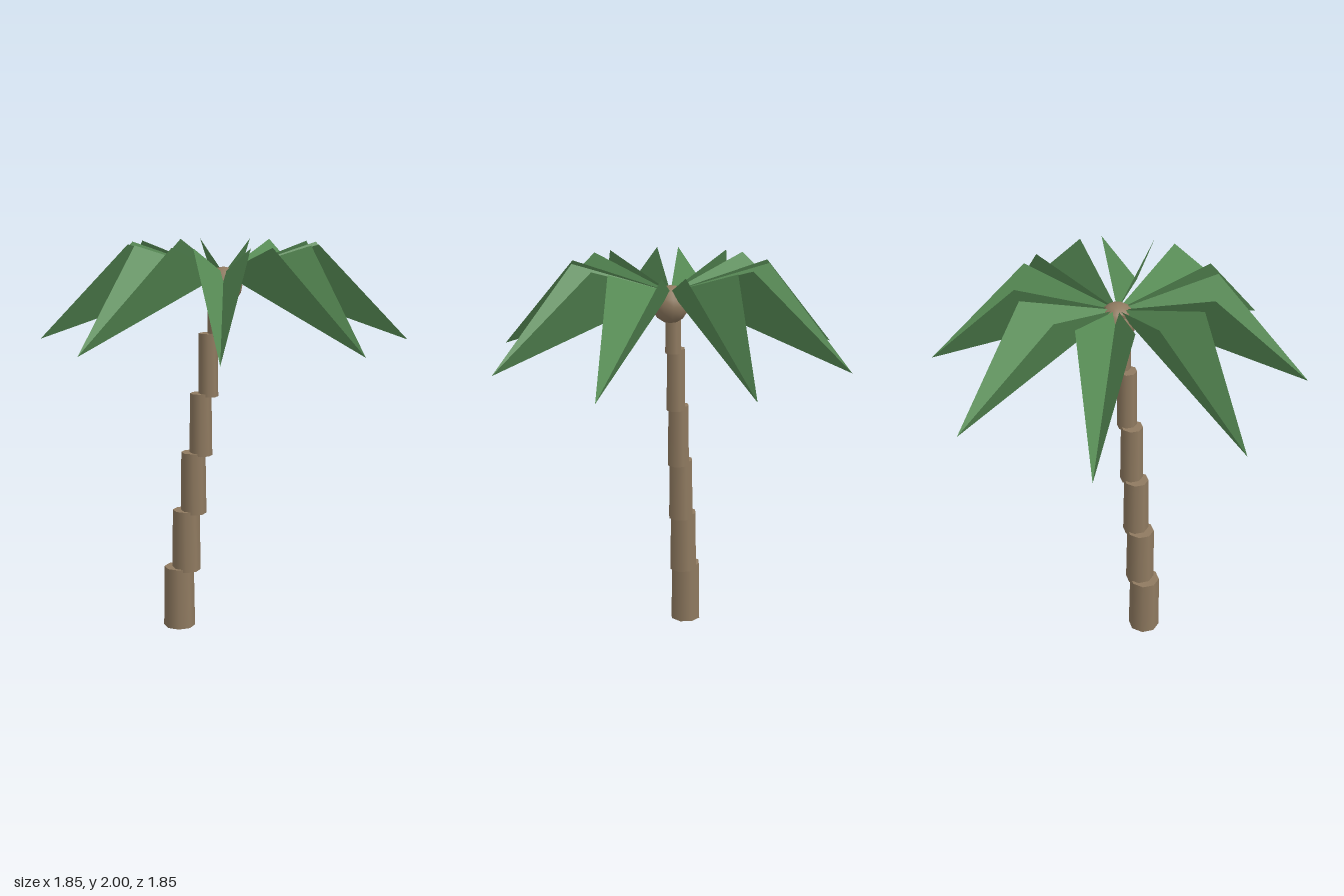
import * as THREE from 'three';

const bark = new THREE.MeshStandardMaterial({ color: 0x8f7a60 });
bark.name = 'bark brown';
const green = new THREE.MeshStandardMaterial({ color: 0x5a9058, side: THREE.DoubleSide });
green.name = 'frond green';

// Folded leaf along +x: two steep triangles meeting in a valley
function frondGeometry() {
  const base = [0, 1.85, 0], tip = [0.926, 1.52, 0];
  const right = [0.465, 2, 0.133], left = [0.465, 2, -0.133];
  const geometry = new THREE.BufferGeometry();
  geometry.setAttribute('position', new THREE.Float32BufferAttribute(
    [base, right, tip, base, tip, left].flat(), 3));
  geometry.computeVertexNormals();
  return geometry;
}

export function createModel() {
  const palm = new THREE.Group();
  palm.name = 'palmTree';

  // Stacked trunk segments, stepping sideways and getting thinner
  const count = 6, height = 0.322;
  for (let i = 0; i < count; i++) {
    const radius = 0.082 - i * 0.0078;
    const segment = new THREE.Mesh(
      new THREE.CylinderGeometry(radius * 0.94, radius, height, 8), bark);
    segment.name = `trunkSegment${i + 1}`;
    segment.position.set(-0.233 + i * 0.0388, height / 2 + i * 0.307, 0);
    palm.add(segment);
  }

  // Round crown where the fronds meet
  const crown = new THREE.Mesh(new THREE.SphereGeometry(0.094, 12, 8), bark);
  crown.name = 'crown';
  crown.position.y = 1.79;
  palm.add(crown);

  // Ring of eight fronds
  const leaf = frondGeometry();
  for (let i = 0; i < 8; i++) {
    const frond = new THREE.Mesh(leaf, green);
    frond.name = `frond${i + 1}`;
    frond.rotation.y = i * Math.PI / 4;
    palm.add(frond);
  }
  return palm;
}
